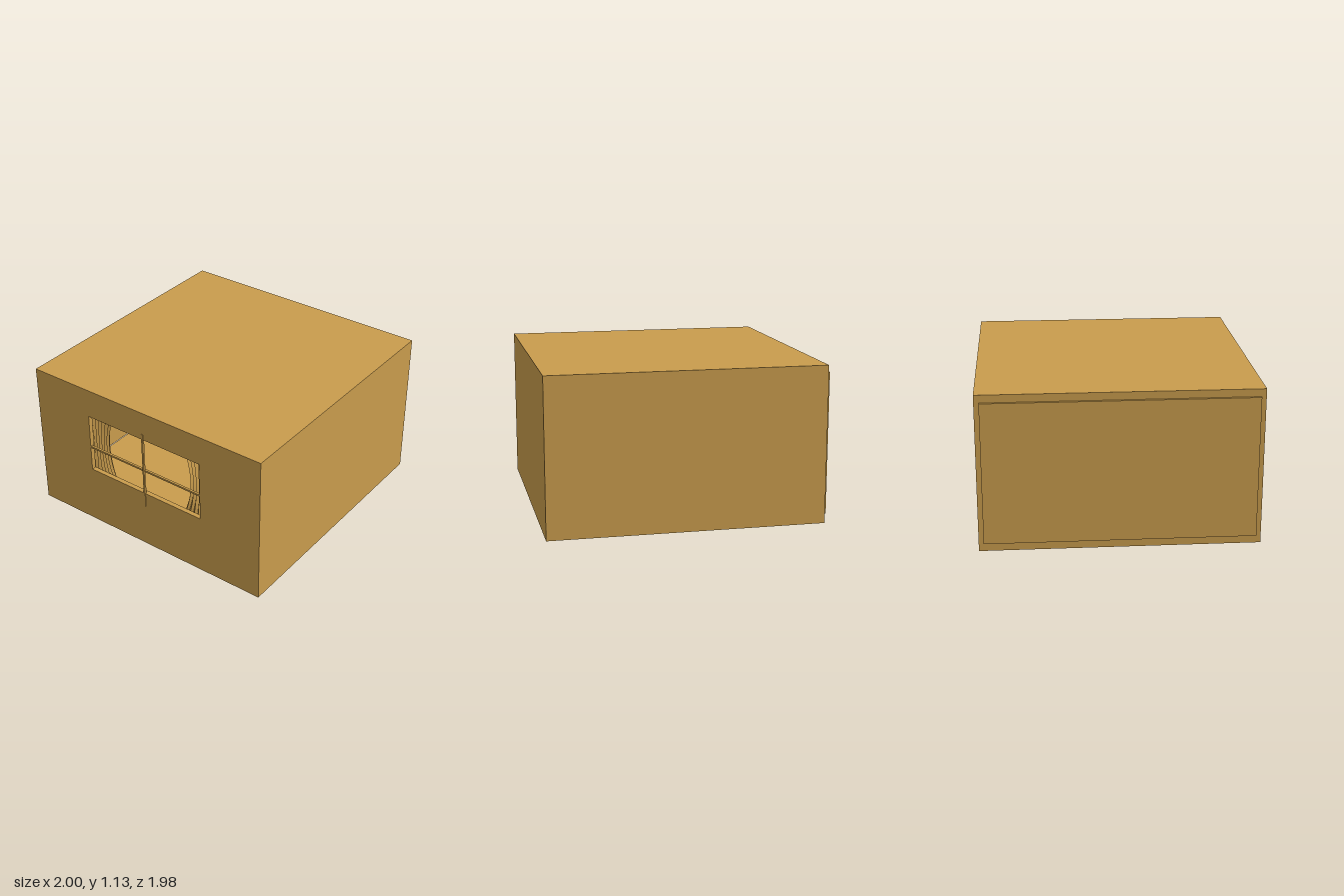
import * as THREE from 'three';

export function createModel() {
  const model = new THREE.Group();
  model.name = 'room';
  const material = new THREE.MeshStandardMaterial({ color: 0xc99c4d, flatShading: true });
  const clothMaterial = material.clone();
  clothMaterial.side = THREE.DoubleSide;

  const add = (name, geometry, parent = model, mat = material) => {
    const mesh = new THREE.Mesh(geometry, mat);
    mesh.name = name;
    parent.add(mesh);
    return mesh;
  };
  // Box given by its minimum and maximum on each axis
  const box = (name, [x0, x1], [y0, y1], [z0, z1], parent) => {
    const mesh = add(name, new THREE.BoxGeometry(x1 - x0, y1 - y0, z1 - z0), parent);
    mesh.position.set((x0 + x1) / 2, (y0 + y1) / 2, (z0 + z1) / 2);
    return mesh;
  };
  const rectangle = (PathType, x0, x1, y0, y1) => new PathType([
    [x0, y0], [x1, y0], [x1, y1], [x0, y1],
  ].map(([x, y]) => new THREE.Vector2(x, y)));

  // Room shell: closed by a separate panel on its -x end
  const X = [-0.98, 1], H = 1.135, Z = [-0.99, 0.985];
  const floorY = 0.055, ceilingY = 1.08, backZ = -0.955, frontZ = 0.95;
  box('floor', X, [0, floorY], Z);
  box('ceiling', X, [ceilingY, H], Z);
  box('backWall', X, [floorY, ceilingY], [Z[0], backZ]);
  box('sideWall', [0.965, 1], [floorY, ceilingY], [backZ, frontZ]);
  box('endPanel', [-1, -0.98], [floorY + 0.005, ceilingY], [backZ, frontZ]);

  // Front wall with the window opening
  const wall = rectangle(THREE.Shape, X[0], X[1], floorY, ceilingY);
  wall.holes.push(rectangle(THREE.Path, -0.49, 0.5, 0.455, 0.915));
  add('frontWall', new THREE.ExtrudeGeometry(wall, { depth: Z[1] - frontZ, bevelEnabled: false }))
    .position.z = frontZ;

  // Window bars; the upright overlaps the wall above and below
  box('uprightBar', [-0.001, 0.013], [0.34, 0.96], [0.975, 0.99]);
  box('crossBar', [-0.49, 0.5], [0.643, 0.657], [0.965, 0.982]);

  // Pleated curtains, gathered in at the middle
  const curtain = (name, side) => {
    const folds = 7, columns = folds * 4, rows = 20;
    const geometry = new THREE.PlaneGeometry(1, 1, columns, rows);
    const p = geometry.attributes.position;
    for (let i = 0; i < p.count; i++) {
      const u = p.getX(i) + 0.5;
      const y = 0.67 + p.getY(i) * 0.64;
      const bend = (y - 0.67) ** 2;
      const inner = 0.37 - 0.75 * bend;
      const outer = 0.54 + 0.45 * bend;
      const fold = Math.sin(u * folds * Math.PI * 2);
      p.setXYZ(i, side * (inner + (outer - inner) * u + fold * 0.006), y, 0.915 + fold * 0.018);
    }
    geometry.computeVertexNormals();
    add(name, geometry, model, clothMaterial);
  };
  curtain('leftCurtain', 1);
  curtain('rightCurtain', -1);

  // Framed pictures on the back wall
  const picture = (name, width, height, x, y, turn) => {
    const group = new THREE.Group();
    group.name = name;
    const w = width / 2, h = height / 2, rim = 0.014;
    const outline = rectangle(THREE.Shape, -w, w, -h, h);
    outline.holes.push(rectangle(THREE.Path, -w + rim, w - rim, -h + rim, h - rim));
    add('pictureFrame', new THREE.ExtrudeGeometry(outline, { depth: 0.025, bevelEnabled: false }), group);
    box('picture', [-w + rim, w - rim], [-h + rim, h - rim], [0, 0.01], group);
    group.position.set(x, y, backZ);
    group.rotation.z = turn;
    model.add(group);
  };
  picture('widePicture', 0.33, 0.2, 0.085, 0.66, 0);
  picture('diamondPicture', 0.24, 0.24, -0.45, 0.62, Math.PI / 4);

  return model;
}
